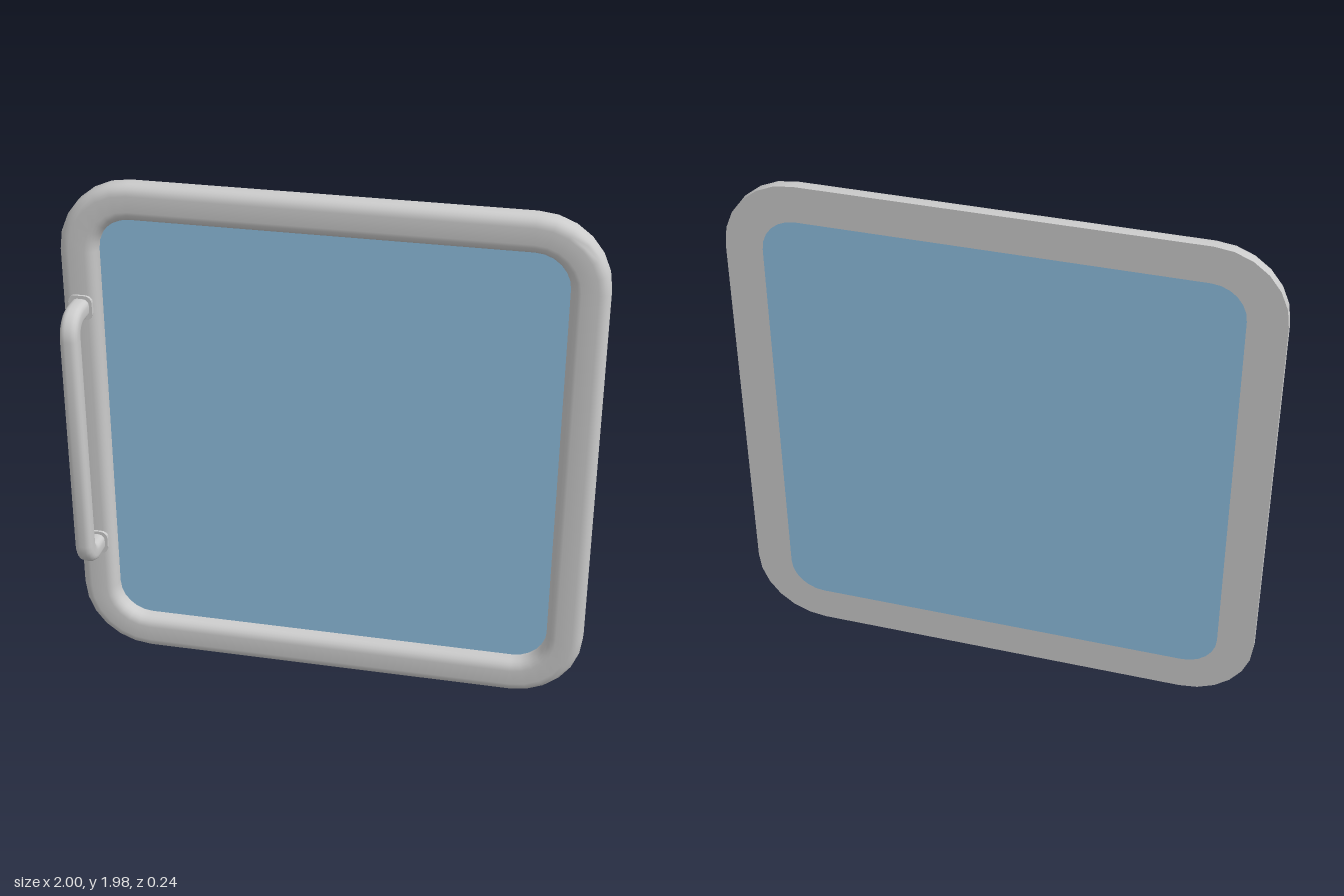
import * as THREE from 'three';
import { toCreasedNormals } from 'three/addons/utils/BufferGeometryUtils.js';

const W = 1, H = 1.98, BACK = -0.12, FRONT = -0.05, BORDER = 0.14;

// Rounded rectangle as a counter-clockwise list of points
function roundedRect(halfW, halfH, r, steps) {
  const points = [];
  for (let c = 0; c < 4; c++) {
    const sx = c === 0 || c === 3 ? 1 : -1, sy = c < 2 ? 1 : -1;
    for (let i = 0; i <= steps; i++) {
      const a = (c + i / steps) * Math.PI / 2;
      points.push(new THREE.Vector2(
        sx * (halfW - r) + r * Math.cos(a), sy * (halfH - r) + r * Math.sin(a)));
    }
  }
  return points;
}

// Skin over a series of closed rings; optionally joins the last ring to the first
function loft(rings, closed) {
  const n = rings[0].length, m = rings.length, index = [];
  for (let i = 0; i < (closed ? m : m - 1); i++) {
    for (let j = 0; j < n; j++) {
      const a = i * n + j, b = i * n + (j + 1) % n;
      const c = ((i + 1) % m) * n + j, d = ((i + 1) % m) * n + (j + 1) % n;
      index.push(a, b, d, a, d, c);
    }
  }
  const g = new THREE.BufferGeometry().setFromPoints(rings.flat());
  g.setIndex(index);
  return toCreasedNormals(g, 0.7);
}

export function createModel() {
  const group = new THREE.Group();
  const grey = new THREE.MeshStandardMaterial({ color: 0xcccccc });
  const blue = new THREE.MeshStandardMaterial({ color: 0x8fbfe0 });
  const add = (name, geometry, material) => {
    const mesh = new THREE.Mesh(geometry, material);
    mesh.name = name;
    group.add(mesh);
    return mesh;
  };

  // Frame: flat back, front edges rounded; profile is [inset from outer edge, z]
  const r = 0.04, profile = [[0, BACK]];
  for (let i = 0; i <= 5; i++) {
    const a = i / 5 * Math.PI / 2;
    profile.push([r - r * Math.cos(a), FRONT - r + r * Math.sin(a)]);
  }
  for (let i = 0; i <= 5; i++) {
    const a = i / 5 * Math.PI / 2;
    profile.push([BORDER - r + r * Math.sin(a), FRONT - r + r * Math.cos(a)]);
  }
  profile.push([BORDER, BACK]);
  const rings = profile.map(([inset, z]) =>
    roundedRect(W - inset, H / 2 - inset, 0.27 - inset, 6)
      .map(p => new THREE.Vector3(p.x, p.y + H / 2, z)));
  add('frame', loft(rings, true), grey);

  // Glass pane, flush with the back of the frame
  const paneShape = new THREE.Shape(
    roundedRect(W - BORDER, H / 2 - BORDER, 0.27 - BORDER, 6));
  const pane = new THREE.ExtrudeGeometry(paneShape, { depth: 0.01, bevelEnabled: false });
  add('glassPane', pane, blue).position.set(0, H / 2, BACK);

  // Handle: rounded square bar swept along a bracket path in the y-z plane
  const hx = -0.925, yMid = 0.99, reach = 0.505, zBar = 0.086, bend = 0.07;
  const path = [[reach, FRONT - 0.01, 0]]; // y offset, z, heading angle
  for (const s of [1, -1]) {
    for (let i = 0; i <= 6; i++) {
      const a = (s > 0 ? i : 6 + i) / 6 * Math.PI / 2;
      path.push([s * (reach - bend) + bend * Math.cos(a), zBar - bend + bend * Math.sin(a), a]);
    }
  }
  path.push([-reach, FRONT - 0.01, Math.PI]);
  const section = roundedRect(0.034, 0.036, 0.024, 4);
  const handleRings = path.map(([y, z, a]) => section.map(p =>
    new THREE.Vector3(hx + p.x, yMid + y + p.y * Math.cos(a), z + p.y * Math.sin(a))));
  add('handle', loft(handleRings, false), grey);

  // Mounting plates where the handle meets the frame
  const plate = new THREE.ExtrudeGeometry(
    new THREE.Shape(roundedRect(0.045, 0.048, 0.026, 4)), { depth: 0.018, bevelEnabled: false });
  for (const [name, s] of [['upperMount', 1], ['lowerMount', -1]]) {
    add(name, plate, grey).position.set(hx, yMid + s * reach, FRONT - 0.008);
  }
  return group;
}
